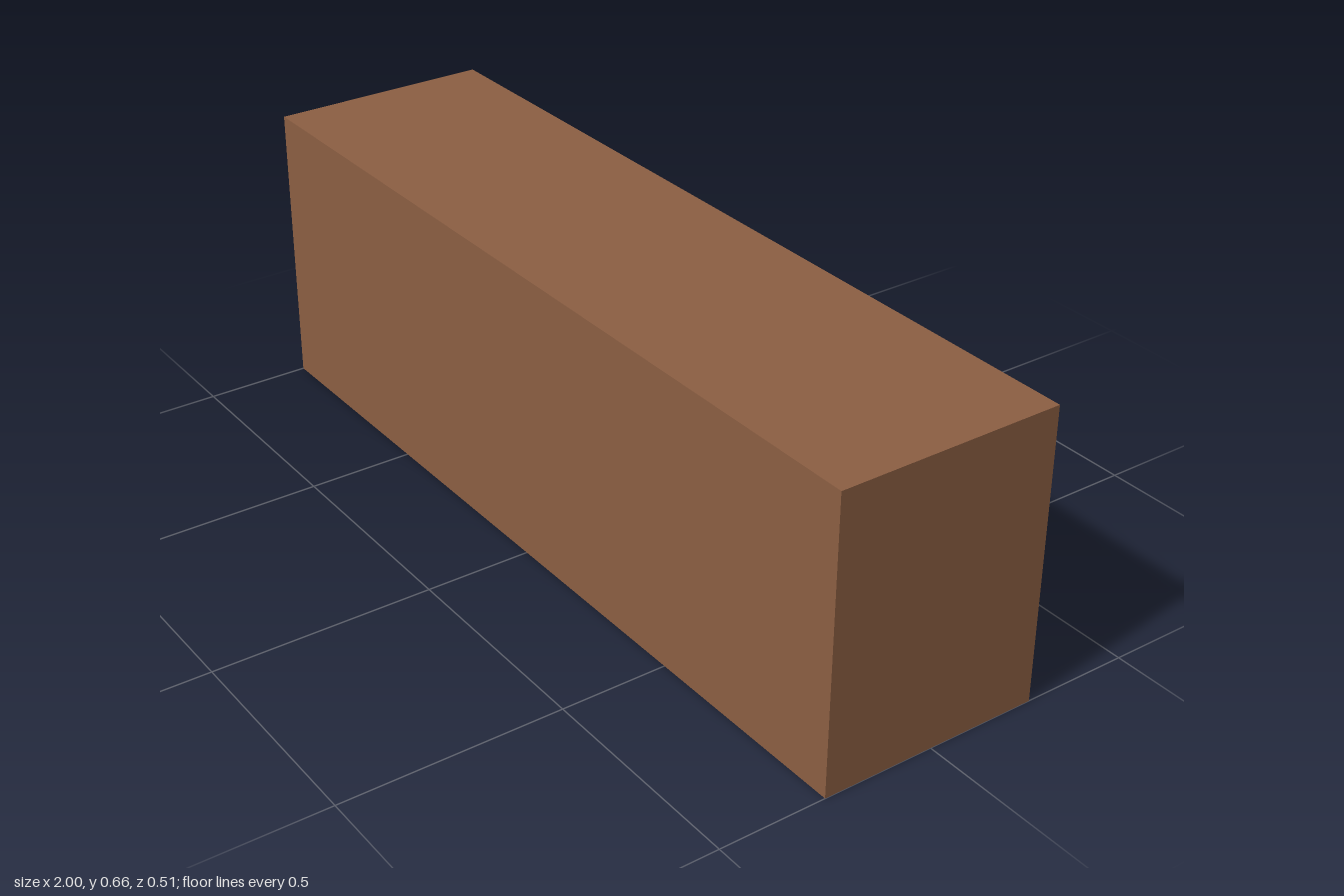
import * as THREE from 'three';

const W = 2, H = 0.662, FRONT = 0.257, BACK = -0.2545;

// Rectangle outline, usable as a shape or as a hole
function rect(PathType, x0, x1, y0, y1) {
  const p = new PathType();
  p.moveTo(x0, y0);
  p.lineTo(x1, y0);
  p.lineTo(x1, y1);
  p.lineTo(x0, y1);
  p.closePath();
  return p;
}

// Rectangular ring with a window, running from z0 to z1
function ring(outer, inner, z0, z1) {
  const shape = rect(THREE.Shape, ...outer);
  shape.holes.push(rect(THREE.Path, ...inner));
  const geo = new THREE.ExtrudeGeometry(shape, { depth: z1 - z0, bevelEnabled: false });
  return geo.translate(0, 0, z0);
}

function slab([x0, x1, y0, y1], z0, z1) {
  return new THREE.BoxGeometry(x1 - x0, y1 - y0, z1 - z0)
    .translate((x0 + x1) / 2, (y0 + y1) / 2, (z0 + z1) / 2);
}

export function createModel() {
  const wood = new THREE.MeshStandardMaterial({ color: 0x8b5e42 });
  wood.name = 'brown wood';
  const grey = new THREE.MeshStandardMaterial({ color: 0xb2b2b2 });
  grey.name = 'grey door';

  const model = new THREE.Group();
  model.name = 'cabinet';
  const add = (parent, name, geo, mat) => {
    const mesh = new THREE.Mesh(geo, mat);
    mesh.name = name;
    parent.add(mesh);
  };

  // Carcass: four boards around the opening, closed by the front panel
  const outline = [-W / 2, W / 2, 0, H];
  add(model, 'carcass', ring(outline, [-0.945, 0.96, 0.045, 0.615], BACK, FRONT - 0.03), wood);
  add(model, 'frontPanel', slab(outline, FRONT - 0.03, FRONT), wood);

  // Two framed doors in the open back, one standing slightly proud of the other
  const doors = [
    { name: 'leftDoor', x0: 0.012, x1: 0.974, face: -0.257 },
    { name: 'rightDoor', x0: -0.958, x1: 0.012, face: -0.2555 },
  ];
  for (const { name, x0, x1, face } of doors) {
    const door = new THREE.Group();
    door.name = name;
    const outer = [x0, x1, 0.036, 0.626];
    const inner = [x0 + 0.022, x1 - 0.022, 0.057, 0.605];
    add(door, 'doorFrame', ring(outer, inner, face, face + 0.016), grey);
    add(door, 'doorPanel', slab(inner, face + 0.007, face + 0.014), grey);
    model.add(door);
  }
  return model;
}
